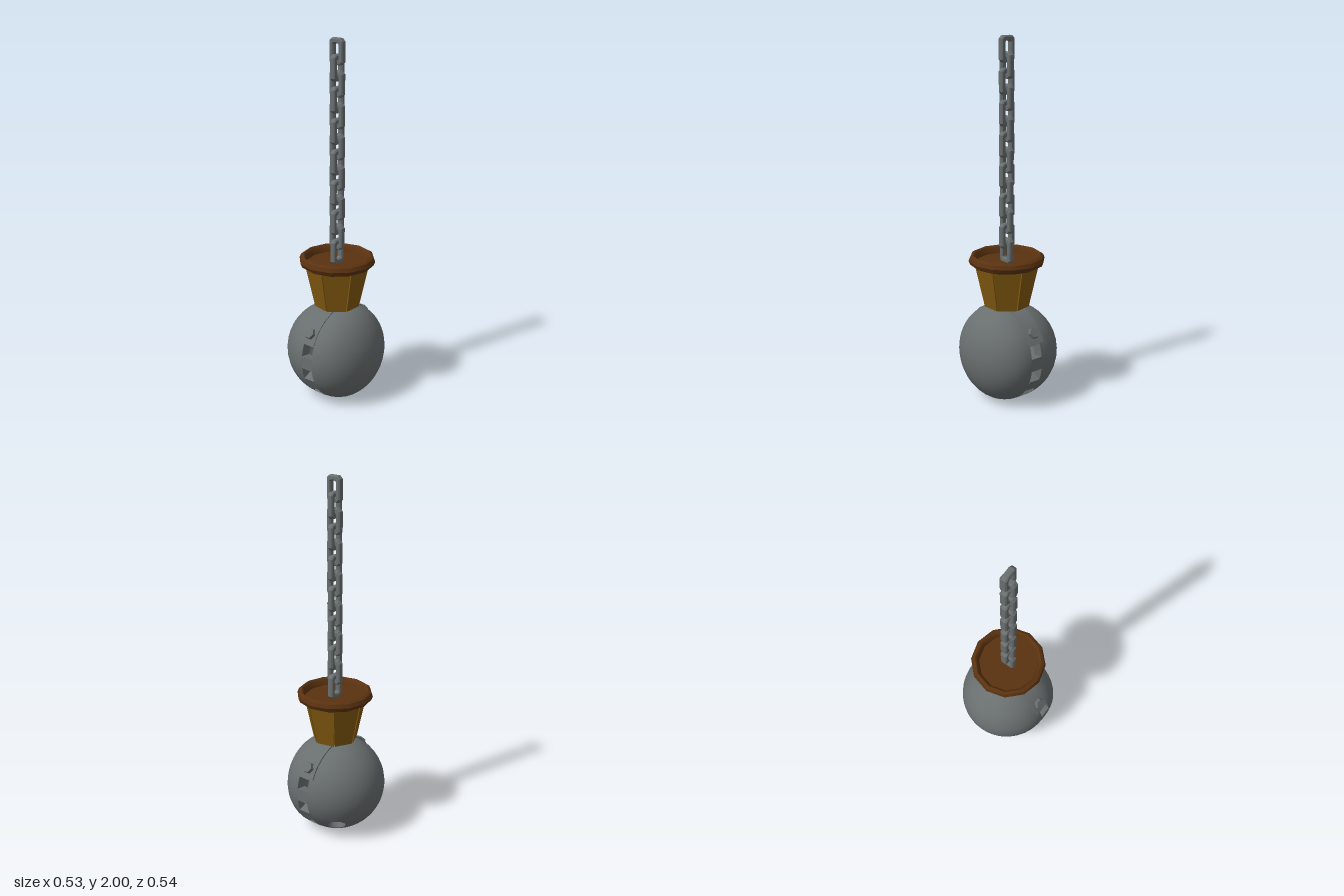
import * as THREE from 'three';
import { mergeGeometries, toCreasedNormals } from 'three/addons/utils/BufferGeometryUtils.js';

const material = (name, color) => {
  const m = new THREE.MeshStandardMaterial({ color });
  m.name = name;
  return m;
};
const V = (x, y) => new THREE.Vector2(x, y);
const rad = THREE.MathUtils.degToRad;

const AXIS_X = 0.015;          // chain and bucket sit slightly off centre
const BALL_Y = 0.27, R_OUT = 0.268, R_IN = 0.21;
const BAND_L = -0.01, BAND_R = 0.06;

// Block of a ring around the x axis, from angle a0 to a1 in degrees
function ringSector(r0, r1, a0, a1, x0, x1) {
  const n = Math.max(1, Math.round((a1 - a0) / 15));
  const arc = (r) => Array.from({ length: n + 1 }, (_, i) => {
    const a = rad(a0 + (a1 - a0) * i / n);
    return V(r * Math.cos(a), r * Math.sin(a));
  });
  const shape = new THREE.Shape([...arc(r1), ...arc(r0).reverse()]);
  const g = new THREE.ExtrudeGeometry(shape, { depth: x1 - x0, bevelEnabled: false });
  g.rotateY(Math.PI / 2).translate(x0, 0, 0);
  return toCreasedNormals(g, 0.5);
}

// Quarter of the ball shell, spread outward from its round hole
function shellQuarter(side) {
  const c = new THREE.Vector3(-0.48, -0.65, 0.58).normalize();
  const e1 = new THREE.Vector3(0, 1, 0).cross(c).normalize();
  const e2 = c.clone().cross(e1);
  const k = -BAND_L / R_OUT, hole = 0.185, rows = 10;
  const angles = Array.from({ length: 96 }, (_, i) => i / 96 * Math.PI * 2);
  for (const s of [1, -1]) {
    const corner = new THREE.Vector3(-k, s * Math.sqrt(1 - k * k), 0);
    angles.push((Math.atan2(corner.dot(e2), corner.dot(e1)) + Math.PI * 2) % (Math.PI * 2));
  }
  angles.sort((a, b) => a - b);
  const profile = [];
  for (let i = rows; i >= 0; i--) profile.push([R_IN, i / rows]);
  for (let i = 0; i <= rows; i++) profile.push([R_OUT, i / rows]);

  const pos = [], index = [], m = profile.length;
  angles.forEach((phi, j) => {
    const d = e1.clone().multiplyScalar(Math.cos(phi)).addScaledVector(e2, Math.sin(phi));
    // distance to the edge of the quarter: z = 0 or the band
    const tz = Math.atan2(c.z, -d.z);
    const tx = (Math.atan2(d.x, c.x) + Math.PI * 4 - Math.acos(-k / Math.hypot(c.x, d.x))) % (Math.PI * 2);
    const end = Math.min(tz, tx);
    profile.forEach(([r, s], i) => {
      const t = hole + (end - hole) * s;
      const p = c.clone().multiplyScalar(Math.cos(t)).addScaledVector(d, Math.sin(t)).multiplyScalar(r);
      pos.push(p.x, p.y, p.z * side);
      if (i === m - 1) return;
      const a = j * m + i, b = ((j + 1) % angles.length) * m + i;
      if (side > 0) index.push(a, a + 1, b + 1, a, b + 1, b);
      else index.push(a, b + 1, a + 1, a, b, b + 1);
    });
  });
  const g = new THREE.BufferGeometry();
  g.setAttribute('position', new THREE.Float32BufferAttribute(pos, 3));
  g.setIndex(index);
  return g;
}

// Hollow half on the other side of the band
function rightShell() {
  const len = 0.205, thick = R_OUT - R_IN, n = 12, pts = [];
  for (let i = 0; i <= n; i++) {
    const a = i / n * Math.PI / 2;
    pts.push(V(R_IN * Math.sin(a), (len - thick) * Math.cos(a)));
  }
  for (let i = n; i >= 0; i--) {
    const a = i / n * Math.PI / 2;
    pts.push(V(R_OUT * Math.sin(a), len * Math.cos(a)));
  }
  const g = new THREE.LatheGeometry(pts, 48);
  g.rotateZ(-Math.PI / 2).translate(BAND_R, 0, 0);
  return toCreasedNormals(g, 0.7);
}

// Chain link: chamfered frame with a slot
function linkGeometry() {
  const frame = (w, h, c) => [V(w, h - c), V(w - c, h), V(c - w, h), V(-w, h - c),
    V(-w, c - h), V(c - w, -h), V(w - c, -h), V(w, c - h)];
  const b = 0.006, depth = 0.034 - 2 * b;
  const shape = new THREE.Shape(frame(0.044 - b, 0.069 - b, 0.012));
  shape.holes.push(new THREE.Path(frame(0.018 + b, 0.042 + b, 0.01).reverse()));
  const g = new THREE.ExtrudeGeometry(shape, {
    depth, bevelEnabled: true, bevelThickness: b, bevelSize: b, bevelSegments: 1 });
  return g.translate(0, 0, -depth / 2);
}

// Flat tapering bucket stave, facing +z
function staveGeometry() {
  const g = new THREE.BoxGeometry(1, 1, 1), p = g.attributes.position;
  for (let i = 0; i < p.count; i++) {
    const r = THREE.MathUtils.lerp(0.125, 0.178, p.getY(i) + 0.5);
    const apothem = r * Math.cos(Math.PI / 7);
    const z = apothem + (p.getZ(i) - 0.5) * 0.022;
    const half = r * Math.sin(Math.PI / 7) * 0.94 * z / apothem;
    p.setXYZ(i, p.getX(i) * 2 * half, 0.535 + (p.getY(i) + 0.5) * 0.235, z);
  }
  g.computeVertexNormals();
  return g;
}

export function createModel() {
  const iron = material('iron grey', 0x696e6e);
  const wood = material('golden wood', 0x82590f);
  const darkWood = material('dark wood', 0x5a3210);
  const model = new THREE.Group();
  model.name = 'bucketBallOnChain';
  const group = (name, x, y) => {
    const g = new THREE.Group();
    g.name = name;
    g.position.set(x, y, 0);
    model.add(g);
    return g;
  };
  const add = (parent, name, geometry, mat) => {
    const mesh = new THREE.Mesh(geometry, mat);
    mesh.name = name;
    parent.add(mesh);
    return mesh;
  };

  // Hollow ball: two shells joined by a slotted band
  const ball = group('ball', 0, BALL_Y);
  add(ball, 'leftShell', toCreasedNormals(mergeGeometries([shellQuarter(1), shellQuarter(-1)]), 0.7), iron);
  add(ball, 'shellEdge', new THREE.RingGeometry(R_IN, R_OUT, 48).rotateY(Math.PI / 2).translate(BAND_L, 0, 0), iron);
  add(ball, 'rightShell', rightShell(), iron);
  add(ball, 'bandTop', ringSector(R_IN, 0.27, 22.5, 157.5, BAND_L, BAND_R), iron);
  for (let a = 0; a >= -180; a -= 30) {
    add(ball, 'bandBar', ringSector(R_IN, 0.27, a - 7.5, a + 7.5, BAND_L, BAND_R), iron);
  }

  // Strap over the top with a hexagonal bolt at each end
  add(ball, 'strap', ringSector(0.24, 0.274, 24, 156, -0.035, BAND_R), iron);
  for (const side of [1, -1]) {
    const a = rad(36);
    const bolt = add(ball, 'bolt', toCreasedNormals(new THREE.CylinderGeometry(0.03, 0.035, 0.04, 6, 1, false, Math.PI / 6 * 3), 0.3), iron);
    bolt.position.set(AXIS_X, 0.272 * Math.sin(a), side * 0.272 * Math.cos(a));
    bolt.rotation.x = side * (Math.PI / 2 - a);
  }

  // Seven-sided bucket with a thick round rim
  const bucket = group('bucket', AXIS_X, 0);
  const core = new THREE.CylinderGeometry(0.166, 0.113, 0.225, 7, 1, false, -Math.PI / 2);
  add(bucket, 'bucketCore', toCreasedNormals(core.translate(0, 0.652, 0), 0.3), wood);
  const stave = staveGeometry();
  for (let i = 0; i < 7; i++) {
    add(bucket, 'stave', stave, wood).rotation.y = Math.PI / 2 + i * Math.PI * 2 / 7;
  }
  const rim = [V(0, 0.766), V(0.182, 0.766), V(0.201, 0.776), V(0.21, 0.797), V(0.202, 0.818),
    V(0.187, 0.827), V(0.176, 0.818), V(0.165, 0.785), V(0, 0.783)];
  add(bucket, 'rim', toCreasedNormals(new THREE.LatheGeometry(rim, 12), 0.6), darkWood);

  // Chain of alternating links
  const chain = group('chain', AXIS_X, 0);
  const link = linkGeometry();
  for (let i = 0; i < 14; i++) {
    const mesh = add(chain, 'chainLink', link, iron);
    mesh.position.y = 1.931 - i * 0.0833;
    mesh.rotation.y = (i % 2) * Math.PI / 2;
  }
  return model;
}
